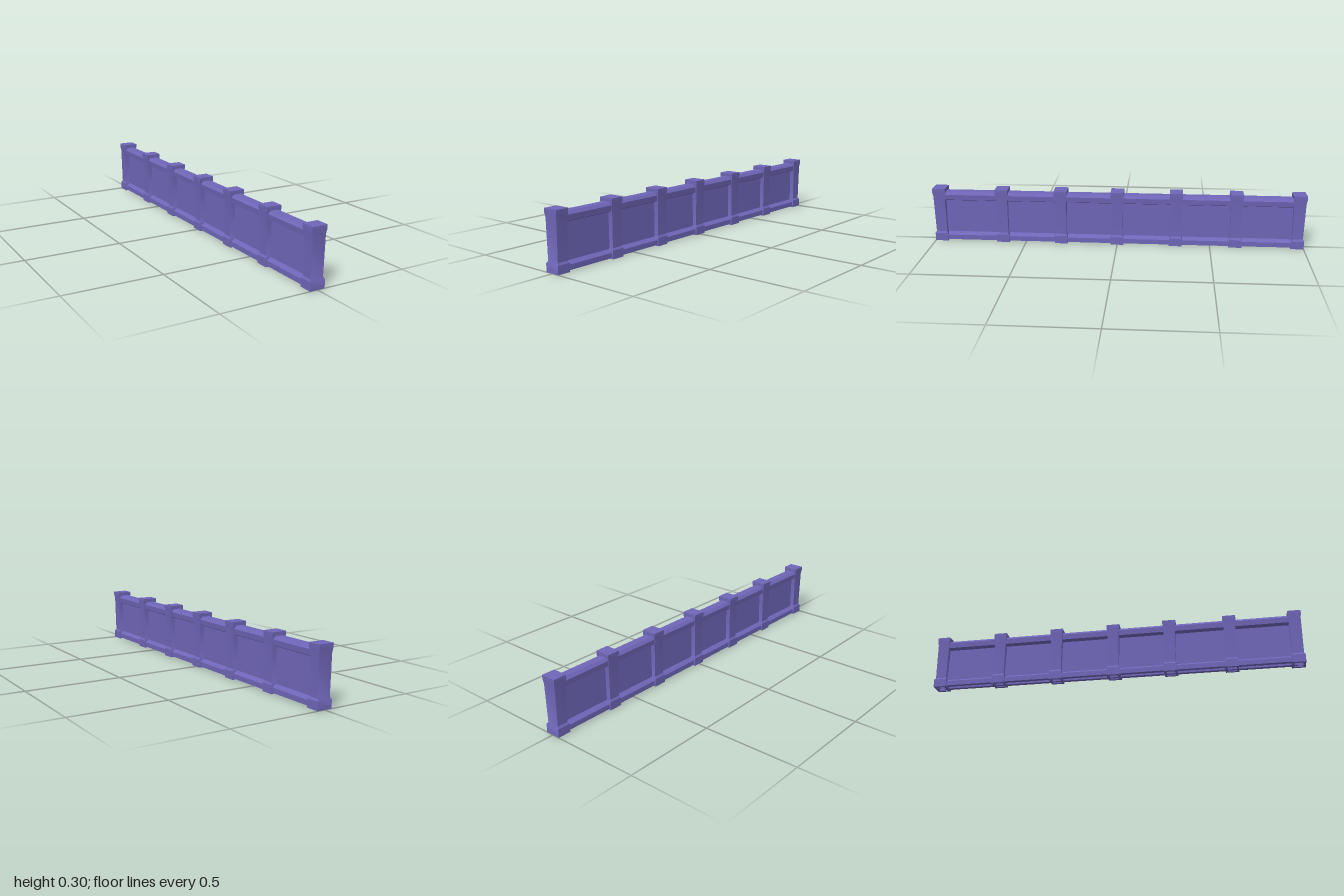
import * as THREE from 'three';
import { toCreasedNormals } from 'three/addons/utils/BufferGeometryUtils.js';

export function createModel() {
  const group = new THREE.Group();
  group.name = 'fence';
  const paint = new THREE.MeshStandardMaterial({ color: 0x6f66b8 });
  paint.name = 'violet';

  const add = (name, geometry, z = 0) => {
    const mesh = new THREE.Mesh(toCreasedNormals(geometry, 0.6), paint);
    mesh.name = name;
    mesh.position.z = z;
    group.add(mesh);
  };

  // Extrudes the right half of a symmetric profile along the whole fence
  const run = (half, length) => {
    const left = half.slice().reverse().map(([x, y]) => [-x, y]);
    const points = [...half, ...left].map(([x, y]) => new THREE.Vector2(x, y));
    const geometry = new THREE.ExtrudeGeometry(new THREE.Shape(points), { depth: length, bevelEnabled: false });
    return geometry.translate(0, 0, -length / 2);
  };

  // Rails with chamfered edges; the lower one has a groove underneath
  add('topRail', run([[0.012, 0.226], [0.03, 0.234], [0.033, 0.262], [0.02, 0.277]], 1.92));
  add('bottomRail', run([[0.012, 0.018], [0.012, 0.006], [0.033, 0.006], [0.033, 0.032], [0.014, 0.046]], 1.92));

  // Thin infill panel
  add('panel', new THREE.BoxGeometry(0.02, 0.2, 1.92).translate(0, 0.135, 0));

  // Square post: hollow foot block, widening shaft, flared cap
  const profile = [
    [0, 0.03], [0.027, 0.03], [0.027, 0], [0.04, 0], [0.04, 0.043], [0.033, 0.053],
    [0.036, 0.252], [0.04, 0.276], [0.04, 0.296], [0, 0.297],
  ].map(([half, y]) => new THREE.Vector2(half * Math.SQRT2, y));
  for (const z of [-0.965, -0.635, -0.315, 0, 0.305, 0.625, 0.965]) {
    const post = new THREE.LatheGeometry(profile, 4, Math.PI / 4);
    add('post', post.scale(1, 1, 0.875), z);
  }
  return group;
}
